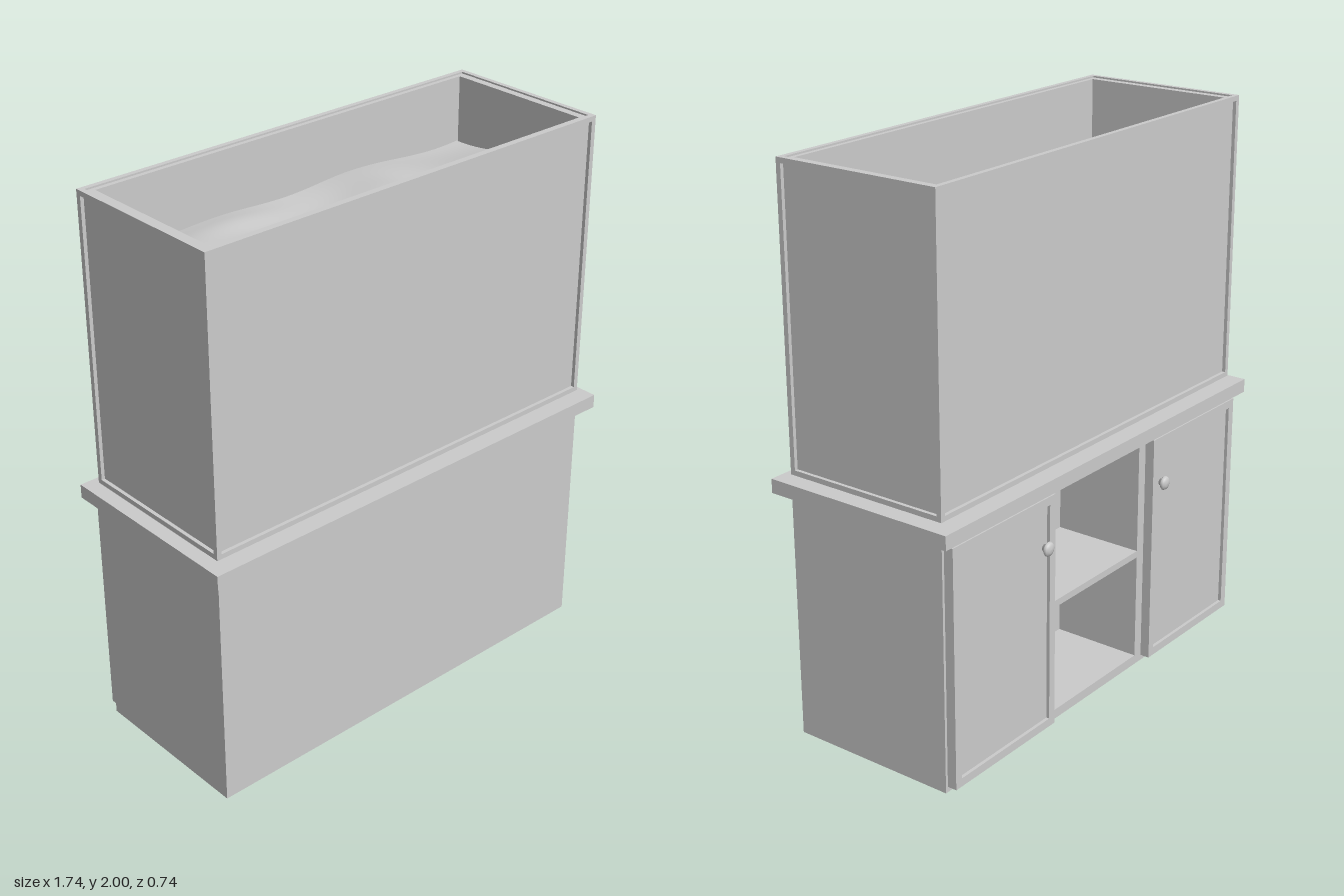
import * as THREE from 'three';

const grey = new THREE.MeshStandardMaterial({ color: 0xcccccc });
const greySheet = new THREE.MeshStandardMaterial({ color: 0xcccccc, side: THREE.DoubleSide });

// Box given by its lower and upper corners
function box(parent, name, [x0, y0, z0], [x1, y1, z1]) {
  const mesh = new THREE.Mesh(new THREE.BoxGeometry(x1 - x0, y1 - y0, z1 - z0), grey);
  mesh.position.set((x0 + x1) / 2, (y0 + y1) / 2, (z0 + z1) / 2);
  mesh.name = name;
  parent.add(mesh);
  return mesh;
}

function group(parent, name) {
  const g = new THREE.Group();
  g.name = name;
  parent.add(g);
  return g;
}

const W = 0.83, ZF = 0.32, ZB = -0.31; // half width, front and back of cabinet and tank
const BAY = 0.25;                      // half width of the open shelf bay

// Cabinet shell, open underneath, with an open shelf bay in the back
function buildCabinet(root) {
  const cab = group(root, 'cabinet');
  const t = 0.006, top = 0.89, low = 0.035, high = 0.86;
  box(cab, 'frontPanel', [-W, 0, ZF - t], [W, top, ZF]);
  for (const s of [-1, 1]) {
    const [a, b] = s < 0 ? [-W, -W + t] : [W - t, W];
    box(cab, 'sidePanel', [a, 0, ZB], [b, top, ZF - t]);
    const [c, d] = s < 0 ? [-W + t, -BAY] : [BAY, W - t];
    box(cab, 'backPanel', [c, 0, ZB], [d, top, ZB + t]);
  }
  box(cab, 'bayTopRail', [-BAY, high, ZB], [BAY, top, ZB + t]);
  box(cab, 'bayBottomRail', [-BAY, 0, ZB], [BAY, low, ZB + t]);

  // Bay lining and shelf
  const zi = ZB + 0.34;
  box(cab, 'bayFloor', [-BAY, low - t, ZB + t], [BAY, low, zi]);
  box(cab, 'bayCeiling', [-BAY, high, ZB + t], [BAY, high + t, zi]);
  box(cab, 'bayRear', [-BAY, low - t, zi], [BAY, high + t, zi + t]);
  for (const x of [-BAY - t, BAY]) {
    box(cab, 'bayWall', [x, low - t, ZB + t], [x + t, high + t, zi + t]);
  }
  box(cab, 'shelf', [-BAY, 0.43, ZB], [BAY, 0.455, zi]);
}

// Framed door with a recessed panel and a round knob
function buildDoor(root, side) {
  const door = group(root, 'door');
  const x0 = 0.29, x1 = 0.82, y0 = 0.02, y1 = 0.875, border = 0.03;
  const rect = (P, d) => new P().moveTo(x0 + d, y0 + d).lineTo(x1 - d, y0 + d)
    .lineTo(x1 - d, y1 - d).lineTo(x0 + d, y1 - d).closePath();
  const outline = rect(THREE.Shape, 0);
  outline.holes.push(rect(THREE.Path, border));
  const frame = new THREE.Mesh(
    new THREE.ExtrudeGeometry(outline, { depth: 0.035, bevelEnabled: false }), grey);
  frame.name = 'doorFrame';
  frame.position.set(side > 0 ? 0 : -(x0 + x1), 0, ZB - 0.035);
  door.add(frame);
  const px = side > 0 ? x0 : -x1;
  box(door, 'doorPanel', [px + border, y0 + border, ZB - 0.023],
    [px + x1 - x0 - border, y1 - border, ZB]);

  const profile = [[0, 0], [0.012, 0], [0.011, 0.008], [0.022, 0.012], [0.026, 0.018],
    [0.022, 0.025], [0.012, 0.029], [0, 0.03]].map(p => new THREE.Vector2(...p));
  const knob = new THREE.Mesh(new THREE.LatheGeometry(profile, 20), grey);
  knob.name = 'doorKnob';
  knob.rotation.x = -Math.PI / 2;
  knob.position.set(side * 0.345, 0.70, ZB - 0.03);
  door.add(knob);
  if (side) knob.position.z = ZB - 0.0298;
}

// Open-topped tank: thick walls inside a slim frame along all edges
function buildTank(root) {
  const tank = group(root, 'tank');
  const y0 = 0.955, y1 = 2, b = 0.018, rec = 0.013, inn = 0.046;
  const top = y1 - 0.006;
  box(tank, 'tankFloor', [-W + rec, y0 + 0.002, ZB + rec], [W - rec, y0 + 0.03, ZF - rec]);
  box(tank, 'frontWall', [-W + rec, y0 + 0.004, ZF - inn + 0.012], [W - rec, top, ZF - rec]);
  box(tank, 'backWall', [-W + rec, y0 + 0.004, ZB + rec], [W - rec, top, ZB + inn - 0.012]);
  box(tank, 'leftWall', [W - inn, y0 + 0.004, ZB + inn - 0.012], [W - rec, top, ZF - inn + 0.012]);
  box(tank, 'rightWall', [-W + rec, y0 + 0.004, ZB + inn - 0.012], [-W + inn, top, ZF - inn + 0.012]);

  // Edge frame
  for (const y of [y0, y1 - b]) {
    for (const z of [ZB, ZF - b]) box(tank, 'longRail', [-W, y, z], [W, y + b, z + b]);
    for (const x of [-W, W - b]) box(tank, 'shortRail', [x, y, ZB + b], [x + b, y + b, ZF - b]);
  }
  for (const x of [-W, W - b]) for (const z of [ZB, ZF - b]) {
    box(tank, 'cornerPost', [x, y0 + b, z], [x + b, y1 - b, z + b]);
  }
}

// Softly rolling surface of the filling
function buildFilling(root) {
  const geo = new THREE.PlaneGeometry(1.555, 0.56, 60, 24).rotateX(-Math.PI / 2);
  const bumps = [ // x, z, radius x, radius z, height
    [-0.3, 0.08, 0.24, 0.1, 0.045], [-0.28, -0.2, 0.2, 0.08, 0.02], [0.2, -0.02, 0.12, 0.16, 0.035],
    [0.55, 0.05, 0.2, 0.14, 0.03], [-0.62, -0.1, 0.14, 0.14, 0.025], [0.05, 0.15, 0.1, 0.1, -0.03],
    [-0.3, 0.25, 0.25, 0.06, -0.03],
  ];
  const p = geo.attributes.position;
  for (let i = 0; i < p.count; i++) {
    const x = p.getX(i), z = p.getZ(i);
    let y = 1.765 + 0.008 * Math.sin(9 * x + 5 * z) + 0.006 * Math.sin(14 * z - 6 * x);
    for (const [cx, cz, rx, rz, h] of bumps) {
      y += h * Math.exp(-(((x - cx) / rx) ** 2) - ((z - cz) / rz) ** 2);
    }
    p.setY(i, y);
  }
  geo.computeVertexNormals();
  const mesh = new THREE.Mesh(geo, greySheet);
  mesh.name = 'fillingSurface';
  mesh.position.z = (ZF + ZB) / 2;
  root.add(mesh);
}

export function createModel() {
  const root = new THREE.Group();
  root.name = 'tankOnCabinet';
  buildCabinet(root);
  for (const side of [-1, 1]) buildDoor(root, side);
  box(root, 'worktop', [-0.87, 0.89, -0.36], [0.87, 0.94, 0.37]);
  buildTank(root);
  buildFilling(root);
  return root;
}
